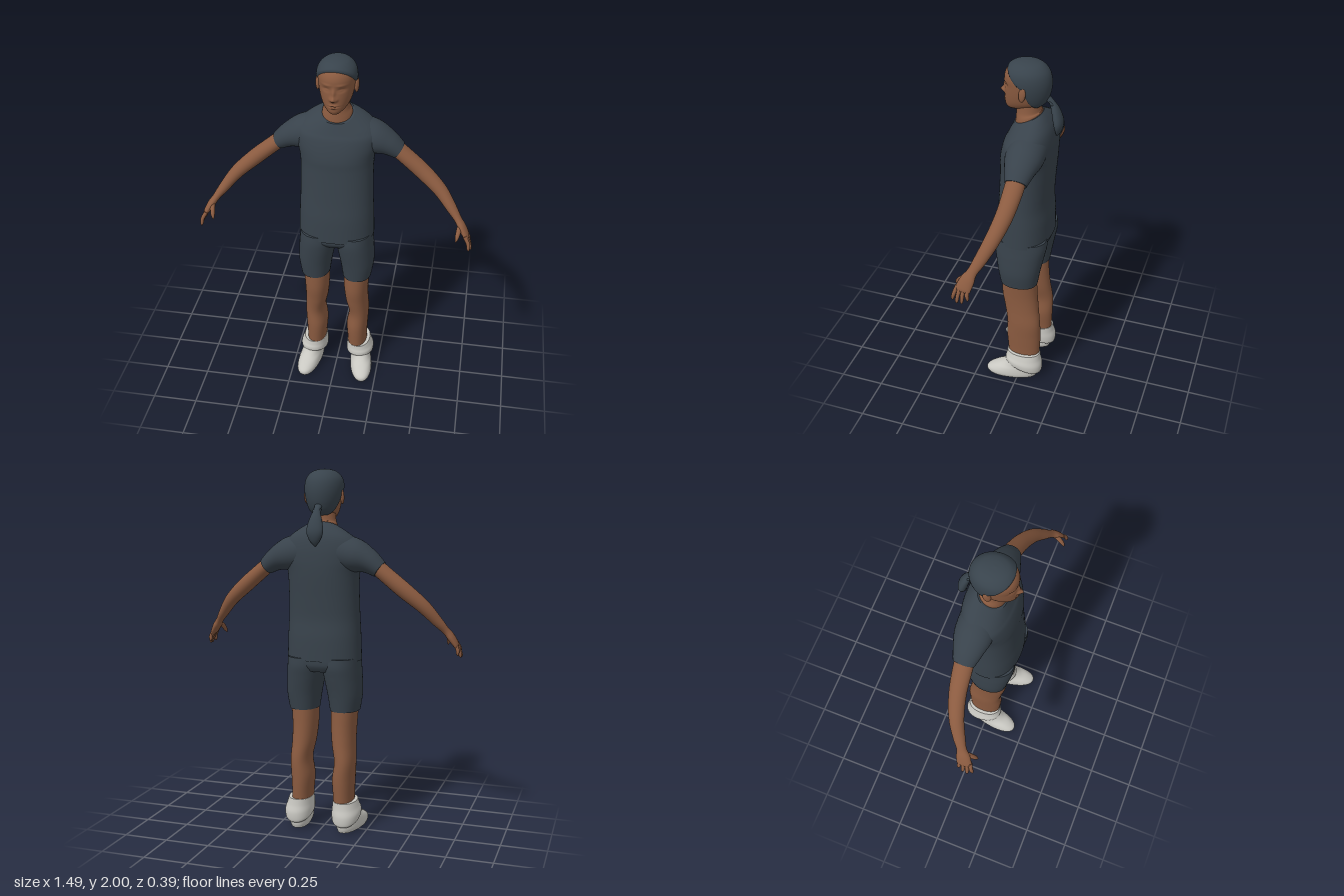
import * as THREE from 'three';

const mat = (name, color) => Object.assign(new THREE.MeshStandardMaterial({ color, side: THREE.DoubleSide }), { name });

// Smooth interpolation through rows of section values, t from 0 to 1
function sample(rows, t) {
  const f = t * (rows.length - 1), i = Math.min(Math.floor(f), rows.length - 2), k = f - i;
  const at = (j) => rows[Math.max(0, Math.min(rows.length - 1, j))];
  const [p, q, r, s] = [at(i - 1), at(i), at(i + 1), at(i + 2)];
  return q.map((b, n) => {
    const m0 = (r[n] - p[n]) / 2, m1 = (s[n] - b) / 2, d = r[n] - b;
    return b + k * (m0 + k * (3 * d - 2 * m0 - m1 + k * (m0 + m1 - 2 * d)));
  });
}

// Closed skin over rings given by point(t, angle), with flat end caps
function skin(point, steps, seg) {
  const pos = [], idx = [];
  for (let i = 0; i <= steps; i++)
    for (let j = 0; j < seg; j++) pos.push(...point(i / steps, (j / seg) * Math.PI * 2));
  for (let i = 0; i < steps; i++)
    for (let j = 0; j < seg; j++) {
      const a = i * seg + j, b = i * seg + ((j + 1) % seg);
      idx.push(a, a + seg, b, b, a + seg, b + seg);
    }
  for (const end of [0, 1]) {
    const base = pos.length / 3, c = [0, 0, 0];
    for (let j = 0; j < seg; j++) {
      const p = point(end, (j / seg) * Math.PI * 2);
      pos.push(...p);
      p.forEach((v, n) => { c[n] += v / seg; });
    }
    pos.push(...c);
    for (let j = 0; j < seg; j++) {
      const a = base + j, b = base + ((j + 1) % seg);
      idx.push(base + seg, ...(end ? [b, a] : [a, b]));
    }
  }
  const g = new THREE.BufferGeometry();
  g.setAttribute('position', new THREE.Float32BufferAttribute(pos, 3));
  g.setIndex(idx);
  g.computeVertexNormals();
  return g;
}

// Horizontal rings, bottom to top: [y, halfWidth, frontZ, backZ, tilt, centreX]
function stack(rows, { side = 1, power = 2, steps = 30, seg = 40, shape } = {}) {
  const full = rows.map(([y, w, f, b, tilt = 0, x = 0]) => [y, w, f, b, tilt, x]);
  const se = (v) => Math.sign(v) * Math.abs(v) ** (2 / power);
  return skin((t, a) => {
    const [y, w, f, b, tilt, x] = sample(full, t);
    const z = (f + b) / 2 + se(Math.sin(a)) * (f - b) / 2;
    const p = [side * x + se(Math.cos(a)) * w, y - tilt * z, z];
    return shape ? shape(p, a) : p;
  }, steps, seg);
}

// Rings across a path: [x, y, z, thickness radius, width radius]
function limb(rows, { side = 1, steps = 24, seg = 20 } = {}) {
  const path = rows.map(([x, ...r]) => [side * x, ...r]);
  const V = (t) => new THREE.Vector3(...sample(path, t));
  return skin((t, ang) => {
    const [x, y, z, a, b] = sample(path, t);
    const dir = V(Math.min(1, t + 0.01)).sub(V(Math.max(0, t - 0.01))).normalize();
    const v = new THREE.Vector3(0, 0, 1).addScaledVector(dir, -dir.z).normalize();
    const u = dir.clone().cross(v);
    return new THREE.Vector3(x, y, z).addScaledVector(u, a * Math.cos(ang)).addScaledVector(v, b * Math.sin(ang)).toArray();
  }, steps, seg);
}

const HEAD = [
  [1.732, 0.026, 0.102, 0.035], [1.75, 0.052, 0.112, -0.04], [1.78, 0.073, 0.114, -0.09],
  [1.82, 0.086, 0.114, -0.112], [1.87, 0.095, 0.112, -0.122], [1.915, 0.097, 0.114, -0.12],
  [1.95, 0.088, 0.101, -0.107], [1.977, 0.064, 0.073, -0.08], [1.989, 0.035, 0.04, -0.045], [1.993, 0.003, 0.003, -0.006],
];

// Facial relief: [x, y, spreadX, spreadY, height]
const FACE = [
  [0, 1.822, 0.013, 0.013, 0.024], [0, 1.85, 0.009, 0.024, 0.012], [0.015, 1.818, 0.008, 0.008, 0.007],
  [0.04, 1.868, 0.018, 0.01, -0.009], [0.038, 1.866, 0.012, 0.005, 0.005], [0.038, 1.893, 0.025, 0.007, 0.004],
  [0, 1.786, 0.02, 0.005, 0.007], [0, 1.772, 0.018, 0.005, 0.007], [0, 1.779, 0.025, 0.002, -0.004],
];
function faceShape([x, y, z]) {
  let dz = 0;
  if (z > 0.03) for (const [cx, cy, sx, sy, h] of FACE)
    dz += h * Math.exp(-(((Math.abs(x) - cx) / sx) ** 2) - ((y - cy) / sy) ** 2);
  return [x, y, z + dz];
}

// Hair sits proud of the scalp behind the hairline and sinks under the face in front of it
const HAIRLINE = [[1.7, -0.07], [1.77, -0.045], [1.85, -0.012], [1.88, 0.005], [1.9, 0.035], [1.935, 0.07], [1.965, 0.1], [2.0, 0.22]];
function hairShape([x, y, z]) {
  let i = 0;
  while (i < HAIRLINE.length - 2 && y > HAIRLINE[i + 1][0]) i++;
  const [[y0, z0], [y1, z1]] = [HAIRLINE[i], HAIRLINE[i + 1]];
  const edge = z0 + (z1 - z0) * (y - y0) / (y1 - y0);
  const off = Math.max(-0.02, Math.min(0.008, (edge - z) * 0.7));
  const n = new THREE.Vector3(x, y - 1.87, z).normalize();
  return [x + n.x * off, y + n.y * off, z + n.z * off];
}

export function createModel() {
  const skinTone = mat('skin', 0x8b5b40), cloth = mat('dark cloth', 0x38424b);
  const hairTone = mat('hair', 0x38434c), shoeTone = mat('shoe', 0xc9c8c2);
  const model = new THREE.Group();
  model.name = 'standingFigure';
  const add = (name, geo, material, parent = model) => {
    const m = new THREE.Mesh(geo, material);
    m.name = name;
    parent.add(m);
    return m;
  };

  // Head, neck and hair
  add('head', stack(HEAD, { steps: 110, seg: 128, shape: faceShape }), skinTone);
  add('neck', stack([[1.6, 0.085, 0.06, -0.085, 0.4], [1.69, 0.079, 0.057, -0.083, 0.4], [1.73, 0.066, 0.053, -0.076, 0.1], [1.8, 0.06, 0.05, -0.07]]), skinTone);
  add('hair', stack(HEAD, { steps: 80, seg: 96, shape: hairShape }), hairTone);
  add('ponytail', limb([
    [0, 1.81, -0.105, 0.022, 0.016], [0, 1.785, -0.132, 0.018, 0.015], [0, 1.74, -0.153, 0.034, 0.022],
    [0, 1.68, -0.168, 0.046, 0.026], [0, 1.635, -0.168, 0.032, 0.018], [0, 1.6, -0.16, 0.004, 0.004]]), hairTone);
  const tie = add('hairTie', new THREE.TorusGeometry(0.018, 0.006, 8, 20), hairTone);
  tie.position.set(0, 1.785, -0.132);
  tie.rotation.x = 0.8;

  // Shirt body and the top of the shorts
  add('shirt', stack([
    [0.972, 0.207, 0.152, -0.15, 0.03], [1.1, 0.203, 0.15, -0.149], [1.2, 0.198, 0.142, -0.142], [1.3, 0.195, 0.136, -0.147],
    [1.4, 0.195, 0.131, -0.155], [1.46, 0.2, 0.13, -0.159], [1.52, 0.215, 0.12, -0.16], [1.58, 0.22, 0.104, -0.156, 0.05],
    [1.62, 0.195, 0.09, -0.143, 0.2], [1.655, 0.145, 0.078, -0.115, 0.35], [1.687, 0.088, 0.064, -0.086, 0.45]],
  { power: 2.25, steps: 60, seg: 56 }), cloth);
  add('shortsWaist', stack([[0.915, 0.17, 0.115, -0.12], [0.95, 0.199, 0.143, -0.14], [1.0, 0.201, 0.145, -0.143]], { power: 2.3 }), cloth);

  for (const side of [1, -1]) {
    const half = new THREE.Group();
    half.name = side > 0 ? 'leftSide' : 'rightSide';
    model.add(half);

    const ear = add('ear', new THREE.SphereGeometry(1, 16, 12), skinTone, half);
    ear.scale.set(0.011, 0.04, 0.02);
    ear.position.set(side * 0.1, 1.855, -0.006);
    ear.rotation.set(-0.15, side * -0.3, 0);

    // Sleeve, arm and palm
    add('sleeve', limb([
      [0.1, 1.565, -0.045, 0.1, 0.1], [0.19, 1.545, -0.045, 0.09, 0.099], [0.26, 1.518, -0.045, 0.066, 0.08],
      [0.322, 1.476, -0.045, 0.047, 0.058]], { side, seg: 32 }), cloth, half);
    add('arm', limb([
      [0.27, 1.52, -0.045, 0.043, 0.05], [0.345, 1.457, -0.042, 0.042, 0.051], [0.45, 1.37, -0.03, 0.043, 0.046],
      [0.55, 1.283, 0, 0.037, 0.04], [0.62, 1.2, 0.04, 0.028, 0.033], [0.66, 1.15, 0.068, 0.02, 0.027],
      [0.685, 1.115, 0.085, 0.021, 0.038], [0.71, 1.075, 0.1, 0.016, 0.041], [0.716, 1.06, 0.104, 0.009, 0.036]],
    { side, steps: 48, seg: 28 }), skinTone, half);

    // Fingers and thumb
    const tips = [[0.73, 1.008, 0.15], [0.739, 1.0, 0.125], [0.738, 1.0, 0.1], [0.728, 1.014, 0.073]];
    tips.forEach(([x, y, z], i) => {
      const bz = 0.132 - i * 0.019;
      add('finger', limb([
        [0.704, 1.085, bz, 0.011, 0.011], [0.724, 1.05, (bz + z) / 2 + 0.002, 0.0105, 0.0105],
        [x - 0.002, y + 0.015, z, 0.009, 0.009], [x, y, z, 0.003, 0.003]], { side, steps: 12, seg: 12 }), skinTone, half);
    });
    add('thumb', limb([
      [0.674, 1.125, 0.095, 0.014, 0.015], [0.668, 1.1, 0.128, 0.013, 0.013], [0.663, 1.077, 0.147, 0.01, 0.01],
      [0.659, 1.06, 0.156, 0.003, 0.003]], { side, steps: 12, seg: 12 }), skinTone, half);

    // Shorts leg and bare leg
    add('shortsLeg', stack([
      [0.69, 0.081, 0.113, -0.098, 0, 0.118], [0.78, 0.094, 0.126, -0.113, 0, 0.118], [0.88, 0.102, 0.141, -0.133, 0, 0.107],
      [0.94, 0.103, 0.147, -0.144, 0, 0.101], [0.99, 0.1, 0.145, -0.143, 0, 0.1]], { side, power: 2.2 }), cloth, half);
    add('leg', stack([
      [0.12, 0.055, 0.066, -0.112, 0, 0.123], [0.2, 0.056, 0.074, -0.116, 0, 0.121], [0.3, 0.061, 0.08, -0.12, 0, 0.12],
      [0.4, 0.057, 0.075, -0.118, 0, 0.128], [0.5, 0.064, 0.09, -0.106, 0, 0.117], [0.6, 0.069, 0.106, -0.097, 0, 0.113],
      [0.72, 0.075, 0.107, -0.092, 0, 0.116]], { side, power: 2.15, steps: 40 }), skinTone, half);

    // Shoe turned slightly outwards, with a loose folded sock
    const foot = new THREE.Group();
    foot.name = 'foot';
    foot.position.x = side * 0.146;
    foot.rotation.y = side * 0.16;
    half.add(foot);
    add('shoe', stack([
      [0, 0.056, 0.186, -0.1], [0.018, 0.063, 0.196, -0.107], [0.038, 0.063, 0.19, -0.11], [0.06, 0.06, 0.158, -0.11],
      [0.082, 0.056, 0.112, -0.11], [0.11, 0.054, 0.082, -0.108], [0.14, 0.052, 0.07, -0.105]], { power: 2.2 }), shoeTone, foot);
    add('sock', stack([
      [0.078, 0.066, 0.074, -0.122, -0.32, 0.138], [0.09, 0.077, 0.083, -0.134, -0.28, 0.138], [0.118, 0.079, 0.083, -0.136, -0.16, 0.138],
      [0.145, 0.073, 0.078, -0.126, -0.06, 0.134], [0.176, 0.066, 0.075, -0.121, 0, 0.13]], { side, power: 2.2 }), shoeTone, half);
  }
  return model;
}
